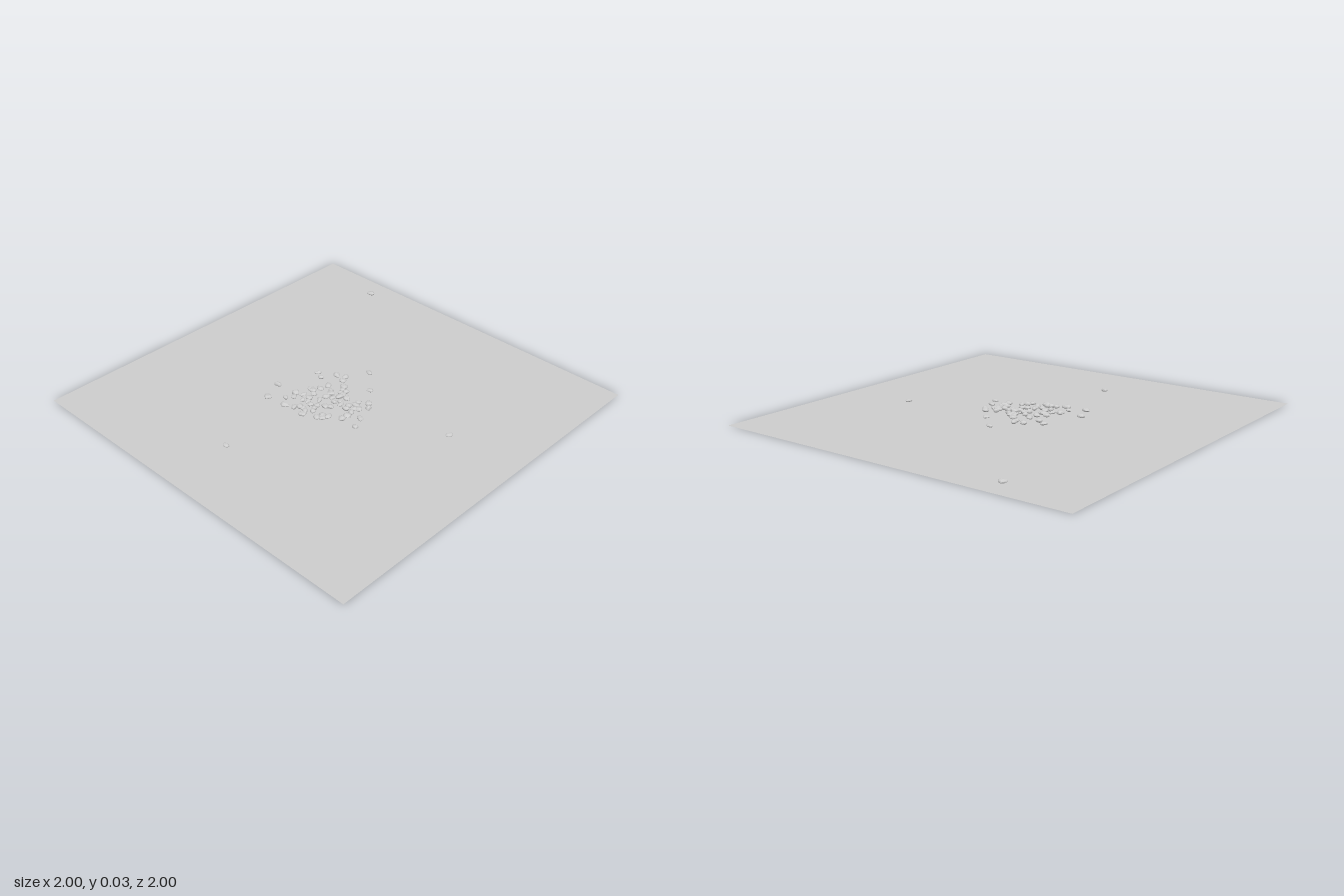
import * as THREE from 'three';

const grey = new THREE.MeshStandardMaterial({ color: 0xcccccc, side: THREE.DoubleSide });
grey.name = 'stoneGrey';

// Small seeded random numbers
let seed = 7;
const rand = () => {
  seed = (seed * 16807) % 2147483647;
  return seed / 2147483647;
};

// Lone stones: x, z, length, turn
const scattered = [
  [-0.58, -0.88, 0.042, 0.6], [0.605, -0.145, 0.032, 1.2], [-0.1, 0.65, 0.034, 0],
  [-0.03, -0.27, 0.036, -0.4], [-0.29, 0.13, 0.04, 0.2], [-0.25, 0.24, 0.042, -0.5],
  [0.235, 0.12, 0.034, 0], [0.08, -0.155, 0.034, 0.5], [-0.22, -0.085, 0.034, 0.9],
  [-0.175, -0.065, 0.034, 0.4], [0.21, 0.055, 0.038, -0.4], [-0.135, 0.232, 0.044, 0.3],
];

// Heap stones: x, z
const heaped = [
  [-0.13, -0.135], [-0.088, -0.152], [-0.077, -0.125], [-0.1, -0.04], [-0.033, -0.087],
  [-0.02, -0.06], [0.005, -0.062], [-0.05, -0.01], [-0.035, 0.01], [-0.01, -0.035],
  [0.012, -0.03], [0.04, -0.03], [0.055, -0.01], [0.06, 0.035], [0.04, 0.02],
  [0.02, 0.045], [0.015, 0], [-0.01, 0.02], [-0.035, 0.04], [-0.11, 0.01],
  [-0.123, 0.05], [-0.143, 0.04], [-0.1, 0.065], [-0.09, 0.105], [-0.135, 0.103],
  [-0.155, 0.15], [-0.172, 0.12], [-0.18, 0.185], [-0.035, 0.09], [-0.02, 0.12],
  [-0.05, 0.14], [-0.075, 0.13], [-0.1, 0.145], [-0.05, 0.19], [-0.025, 0.2],
  [-0.09, 0.212], [0, 0.17], [0.015, 0.1], [0.04, 0.085], [0.05, 0.195],
  [0.075, 0.18], [0.085, 0.148], [0.06, 0.165], [0.1, 0.02], [0.107, 0.05],
  [0.11, -0.035], [0.12, -0.01], [0.15, 0], [0.155, -0.065], [0.182, -0.033],
  [0.145, 0.05], [0.15, 0.085], [0.145, 0.118], [-0.02, 0.225], [-0.07, 0.192],
  [-0.012, 0.15], [0.135, 0.02],
];

// Faceted pebble with an uneven outline, sitting on y = 0
function stone(length) {
  const geo = new THREE.IcosahedronGeometry(1, 1);
  const pos = geo.attributes.position;
  const a = rand() * 6.28, b = rand() * 6.28, c = rand() * 6.28;
  const width = 0.68 + rand() * 0.2;
  const v = new THREE.Vector3();
  for (let i = 0; i < pos.count; i++) {
    v.fromBufferAttribute(pos, i);
    const r = 1 + 0.12 * Math.sin(3 * v.x + a) + 0.1 * Math.sin(4 * v.z + b) + 0.07 * Math.sin(3 * v.y + c);
    v.multiplyScalar(r * length / 2);
    pos.setXYZ(i, v.x, v.y * 0.52, v.z * width);
  }
  geo.computeVertexNormals();
  geo.computeBoundingBox();
  geo.translate(0, -geo.boundingBox.min.y, 0);
  const mesh = new THREE.Mesh(geo, grey);
  mesh.name = 'stone';
  return mesh;
}

export function createModel() {
  seed = 7;
  const model = new THREE.Group();
  model.name = 'stonesOnGround';

  // Flat square ground sheet
  const ground = new THREE.Mesh(new THREE.PlaneGeometry(2, 2).rotateX(-Math.PI / 2), grey);
  ground.name = 'groundSheet';
  model.add(ground);

  const loose = new THREE.Group();
  loose.name = 'scatteredStones';
  for (const [x, z, length, turn] of scattered) {
    const s = stone(length);
    s.position.set(x, 0, z);
    s.rotation.y = turn;
    loose.add(s);
  }

  // Stones near the middle are lifted slightly where they overlap
  const heap = new THREE.Group();
  heap.name = 'stoneHeap';
  heaped.forEach(([x, z], i) => {
    const s = stone(0.032 + rand() * 0.01);
    const central = Math.hypot(x + 0.02, z - 0.04) < 0.12;
    s.position.set(x, central && i % 4 === 0 ? 0.006 : 0, z);
    s.rotation.y = rand() * Math.PI;
    heap.add(s);
  });

  model.add(loose, heap);
  return model;
}
